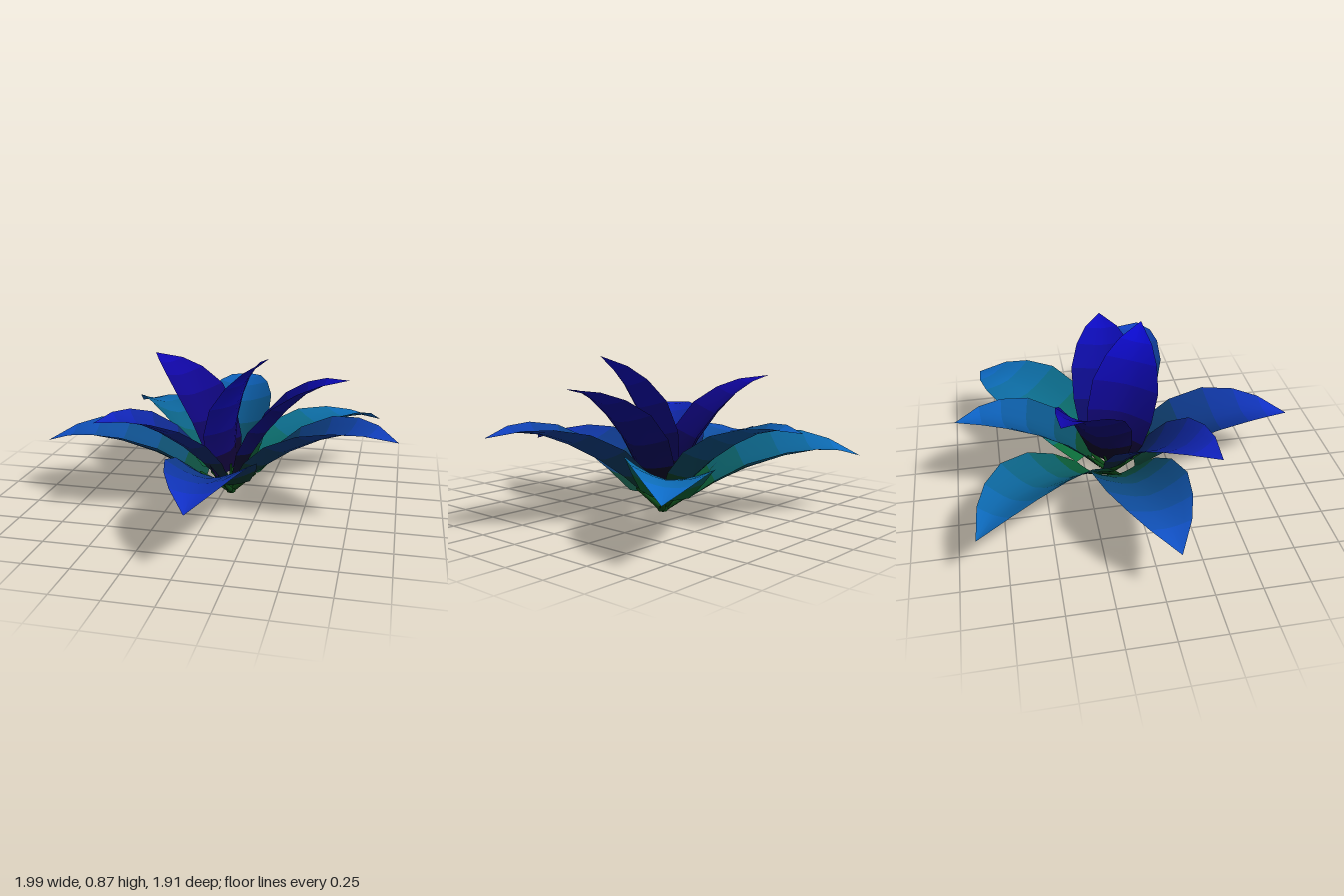
import * as THREE from 'three';

// Leaf cross-sections: distance from root, height, half width, rise of the edges
const SECTIONS = [
  [0.14, 0.085, 0.135, 0.035],
  [0.27, 0.165, 0.19, 0.07],
  [0.43, 0.245, 0.22, 0.09],
  [0.62, 0.312, 0.222, 0.08],
  [0.78, 0.347, 0.175, 0.045],
  [0.91, 0.345, 0.11, 0.02],
  [1.06, 0.3, 0, 0],
];
const ACROSS = 6;
const REST_LENGTH = Math.hypot(1.06, 0.3);
const REST_PITCH = Math.atan2(0.3, 1.06);
const ROOT = new THREE.Vector3(0.05, 0.01, -0.11);

// Tip position, width scale, twist about the root-to-tip line, base and tip colour
const LEAVES = [
  ['outerLeafBackRight', [-0.73, 0.30, -0.89], 1, 0.15, 0x0a5a36, 0x0d6cc0],
  ['outerLeafBack', [-0.01, 0.51, -0.96], 0.85, 0, 0x08452a, 0x0d62c4],
  ['outerLeafBackLeft', [0.87, 0.29, -0.82], 1, -0.15, 0x0a6a38, 0x0d6cc8],
  ['outerLeafLeft', [0.99, 0.48, 0.23], 1, 0, 0x0c3f3c, 0x1040c0],
  ['outerLeafFront', [0.05, 0.30, 0.95], 1, 0, 0x0c3c30, 0x1030c8],
  ['outerLeafRight', [-1.0, 0.30, 0.07], 1, 0, 0x0c4a3c, 0x1050c4],
  ['middleLeafFrontRight', [-0.6, 0.52, 0.37], 0.97, 0, 0x0c2a40, 0x1022c4],
  ['innerLeafBackRight', [-0.49, 0.74, -0.43], 0.85, 0, 0x0c0428, 0x1006b0],
  ['innerLeafLeft', [0.71, 0.72, -0.06], 0.87, 0, 0x0a0a28, 0x0c0ac0],
  ['innerLeafFront', [0.30, 0.86, 0.12], 0.84, 0.42, 0x100438, 0x0a0ad0],
];

// Curved, cupped blade cut into bands that share one set of smooth normals
function makeBlade(baseColor, tipColor) {
  const blade = new THREE.Group();
  blade.name = 'blade';
  const positions = [];
  SECTIONS.forEach(([r, y, width, cup], i) => {
    const before = SECTIONS[Math.max(i - 1, 0)];
    const after = SECTIONS[Math.min(i + 1, SECTIONS.length - 1)];
    const slope = Math.atan2(after[1] - before[1], after[0] - before[0]);
    for (let j = 0; j <= ACROSS; j++) {
      const u = (2 * j) / ACROSS - 1;
      const lift = cup * Math.pow(Math.abs(u), 1.6);
      positions.push(u * width, y + lift * Math.cos(slope), r - lift * Math.sin(slope));
    }
  });

  const bands = [];
  for (let i = 0; i < SECTIONS.length - 1; i++) {
    const band = [];
    for (let j = 0; j < ACROSS; j++) {
      const a = i * (ACROSS + 1) + j;
      const b = a + ACROSS + 1;
      band.push(a, b, a + 1);
      if (i < SECTIONS.length - 2) band.push(b, b + 1, a + 1);
    }
    bands.push(band);
  }
  const whole = new THREE.BufferGeometry();
  whole.setAttribute('position', new THREE.Float32BufferAttribute(positions, 3));
  whole.setIndex(bands.flat());
  whole.computeVertexNormals();

  bands.forEach((band, i) => {
    const geometry = whole.clone();
    geometry.setIndex(band);
    const color = new THREE.Color(baseColor).lerp(new THREE.Color(tipColor), i / (bands.length - 1));
    const mesh = new THREE.Mesh(
      geometry,
      new THREE.MeshStandardMaterial({ color, side: THREE.DoubleSide })
    );
    mesh.name = 'bladeBand' + (i + 1);
    blade.add(mesh);
  });
  return blade;
}

// Thin stalk from the root to just inside the blade
function makeStem(material) {
  const end = new THREE.Vector3(0, 0.11, 0.18);
  const stem = new THREE.Mesh(new THREE.CylinderGeometry(0.009, 0.018, end.length(), 6), material);
  stem.position.copy(end).multiplyScalar(0.5);
  stem.quaternion.setFromUnitVectors(new THREE.Vector3(0, 1, 0), end.clone().normalize());
  stem.name = 'stem';
  return stem;
}

export function createModel() {
  const plant = new THREE.Group();
  plant.name = 'plant';
  const stemMaterial = new THREE.MeshStandardMaterial({ color: 0x0c4a18 });

  for (const [name, tip, width, twist, baseColor, tipColor] of LEAVES) {
    const reach = new THREE.Vector3(...tip).sub(ROOT);
    const length = reach.length() / REST_LENGTH;

    // Turn toward the tip, pitch and scale so the tip lands in place, then twist
    const leaf = new THREE.Group();
    leaf.name = name;
    leaf.position.copy(ROOT);
    leaf.rotation.order = 'YXZ';
    leaf.rotation.y = Math.atan2(reach.x, reach.z);
    leaf.rotation.x = REST_PITCH - Math.atan2(reach.y, Math.hypot(reach.x, reach.z));
    leaf.scale.set(width, length, length);
    leaf.rotateOnWorldAxis(reach.normalize(), twist);
    leaf.add(makeBlade(baseColor, tipColor), makeStem(stemMaterial));
    plant.add(leaf);
  }

  // Small root where the stems meet
  const root = new THREE.Mesh(new THREE.CylinderGeometry(0.035, 0.025, 0.03, 8), stemMaterial);
  root.name = 'root';
  root.position.set(ROOT.x, 0.015, ROOT.z);
  plant.add(root);
  return plant;
}
